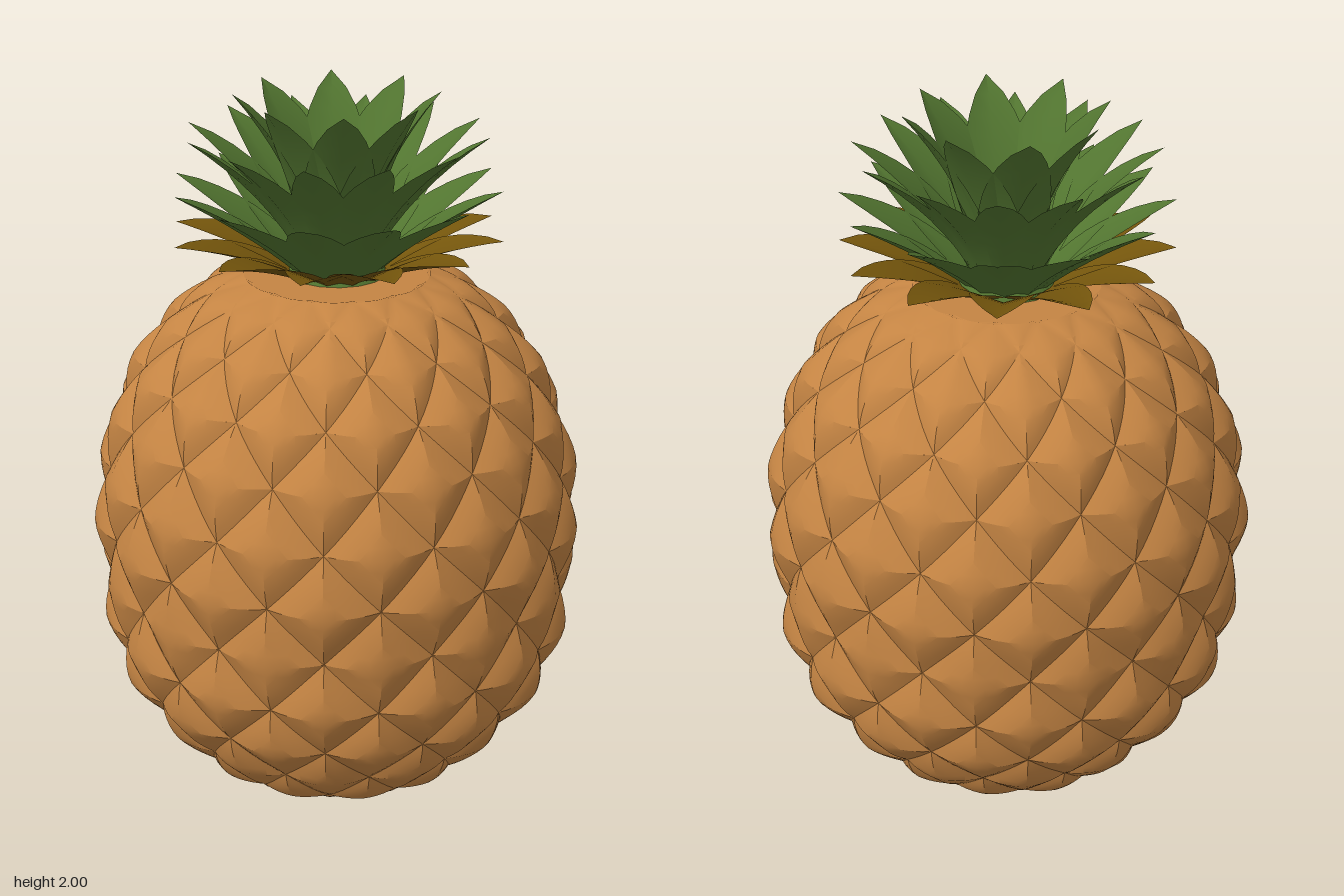
import * as THREE from 'three';
import { toCreasedNormals } from 'three/addons/utils/BufferGeometryUtils.js';

const material = (name, color, side = THREE.FrontSide) => {
  const m = new THREE.MeshStandardMaterial({ color, side });
  m.name = name;
  return m;
};

// Outer radius and height at each row of diamond scale corners
const ROWS = [[0.36, 0.005], [0.46, 0.06], [0.565, 0.18], [0.65, 0.32], [0.69, 0.47], [0.697, 0.63],
  [0.707, 0.79], [0.69, 0.95], [0.645, 1.11], [0.58, 1.25], [0.485, 1.37], [0.37, 1.46], [0.26, 1.5]];
const SCALES = 14; // diamonds around
const SUB = 5; // subdivisions per half diamond

function surface(position, index) {
  const g = new THREE.BufferGeometry();
  g.setAttribute('position', new THREE.Float32BufferAttribute(position, 3));
  g.setIndex(index);
  return g;
}

// Barrel skin: staggered diamonds, each swelling from its creased border to its middle
function skinGeometry() {
  const profile = new THREE.SplineCurve(ROWS.map(([r, y]) => new THREE.Vector2(r, y)));
  const cols = SCALES * 2 * SUB;
  const rows = (ROWS.length - 1) * SUB;
  const position = [], index = [];
  for (let j = 0; j <= rows; j++) {
    const p = profile.getPoint(j / rows);
    const end = Math.min(1, Math.min(j, rows - j) / (2 * SUB));
    const depth = 0.037 * (0.3 + 0.7 * end);
    for (let i = 0; i <= cols; i++) {
      const ci = Math.floor(i / SUB), cj = Math.floor(j / SUB);
      const fx = i / SUB - ci, fy = j / SUB - cj;
      const s = (ci + cj) % 2 === 0 ? fx + fy : 1 - fx + fy;
      const edge = Math.min(s, 2 - s);
      const r = p.x - depth * Math.pow(edge, 1.6);
      const a = (i % cols) / cols * Math.PI * 2;
      position.push(r * Math.sin(a), p.y, r * Math.cos(a));
    }
  }
  for (let j = 0; j < rows; j++) {
    for (let i = 0; i < cols; i++) {
      const a = j * (cols + 1) + i, b = a + 1, d = a + cols + 1, c = d + 1;
      const even = (Math.floor(i / SUB) + Math.floor(j / SUB)) % 2 === 0;
      if (even) index.push(a, b, d, b, c, d);
      else index.push(a, b, c, a, c, d);
    }
  }
  return toCreasedNormals(surface(position, index), 0.45);
}

// Curved, pointed leaf with a shallow central fold, growing towards +z
function leafGeometry([base, mid, tip], width) {
  const toVec = ([r, y]) => new THREE.Vector3(0, y, r);
  const curve = new THREE.QuadraticBezierCurve3(toVec(base), toVec(mid), toVec(tip));
  const steps = 8, position = [], index = [];
  for (let j = 0; j <= steps; j++) {
    const t = j / steps;
    const p = curve.getPoint(t), dir = curve.getTangent(t);
    const half = 0.7 * width * Math.pow(1 - t, 0.85) * (0.6 + 1.3 * t);
    const lift = half * 0.3;
    for (const s of [-1, 0, 1]) {
      const up = s === 0 ? 0 : lift;
      position.push(s * half, p.y + dir.z * up, p.z - dir.y * up);
    }
  }
  for (let j = 0; j < steps; j++) {
    for (let k = 0; k < 2; k++) {
      const a = j * 3 + k;
      index.push(a, a + 4, a + 1, a, a + 3, a + 4);
    }
  }
  const g = surface(position, index);
  g.computeVertexNormals();
  return g;
}

export function createModel() {
  const model = new THREE.Group();
  model.name = 'pineapple';
  const skin = material('golden brown skin', 0xc48443);
  const green = material('leaf green', 0x527530, THREE.DoubleSide);
  const olive = material('dry leaf olive', 0x75560c, THREE.DoubleSide);

  const add = (parent, name, geometry, mat) => {
    const mesh = new THREE.Mesh(geometry, mat);
    mesh.name = name;
    parent.add(mesh);
    return mesh;
  };

  // Fruit body with flat ends
  const fruit = new THREE.Group();
  fruit.name = 'fruit';
  model.add(fruit);
  add(fruit, 'scalySkin', skinGeometry(), skin);
  const top = add(fruit, 'topCap', new THREE.CircleGeometry(0.26, 56), skin);
  top.rotation.x = -Math.PI / 2;
  top.position.y = 1.499;
  const bottom = add(fruit, 'bottomCap', new THREE.CircleGeometry(0.36, 56), skin);
  bottom.rotation.x = Math.PI / 2;
  bottom.position.y = 0.004;

  // Crown: whorls of leaves, outermost first; paths are [radius, height]
  const whorls = [
    { name: 'dryLeaf', count: 12, width: 0.17, mat: olive, path: [[0.13, 1.5], [0.28, 1.58], [0.46, 1.615]] },
    { name: 'lowerLeaf', count: 12, width: 0.17, mat: green, path: [[0.12, 1.51], [0.25, 1.63], [0.455, 1.755]] },
    { name: 'middleLeaf', count: 12, width: 0.16, mat: green, path: [[0.1, 1.54], [0.2, 1.74], [0.415, 1.9]] },
    { name: 'upperLeaf', count: 8, width: 0.19, mat: green, path: [[0.06, 1.58], [0.13, 1.82], [0.28, 2.0]] },
  ];
  const crown = new THREE.Group();
  crown.name = 'crown';
  model.add(crown);
  for (const { name, count, width, mat, path } of whorls) {
    const geometry = leafGeometry(path, width);
    for (let i = 0; i < count; i++) {
      add(crown, name, geometry, mat).rotation.y = i / count * Math.PI * 2;
    }
  }
  // Solid heart that closes the middle of the crown
  const heart = add(crown, 'crownHeart', new THREE.ConeGeometry(0.14, 0.22, 16), green);
  heart.position.y = 1.61;
  return model;
}
